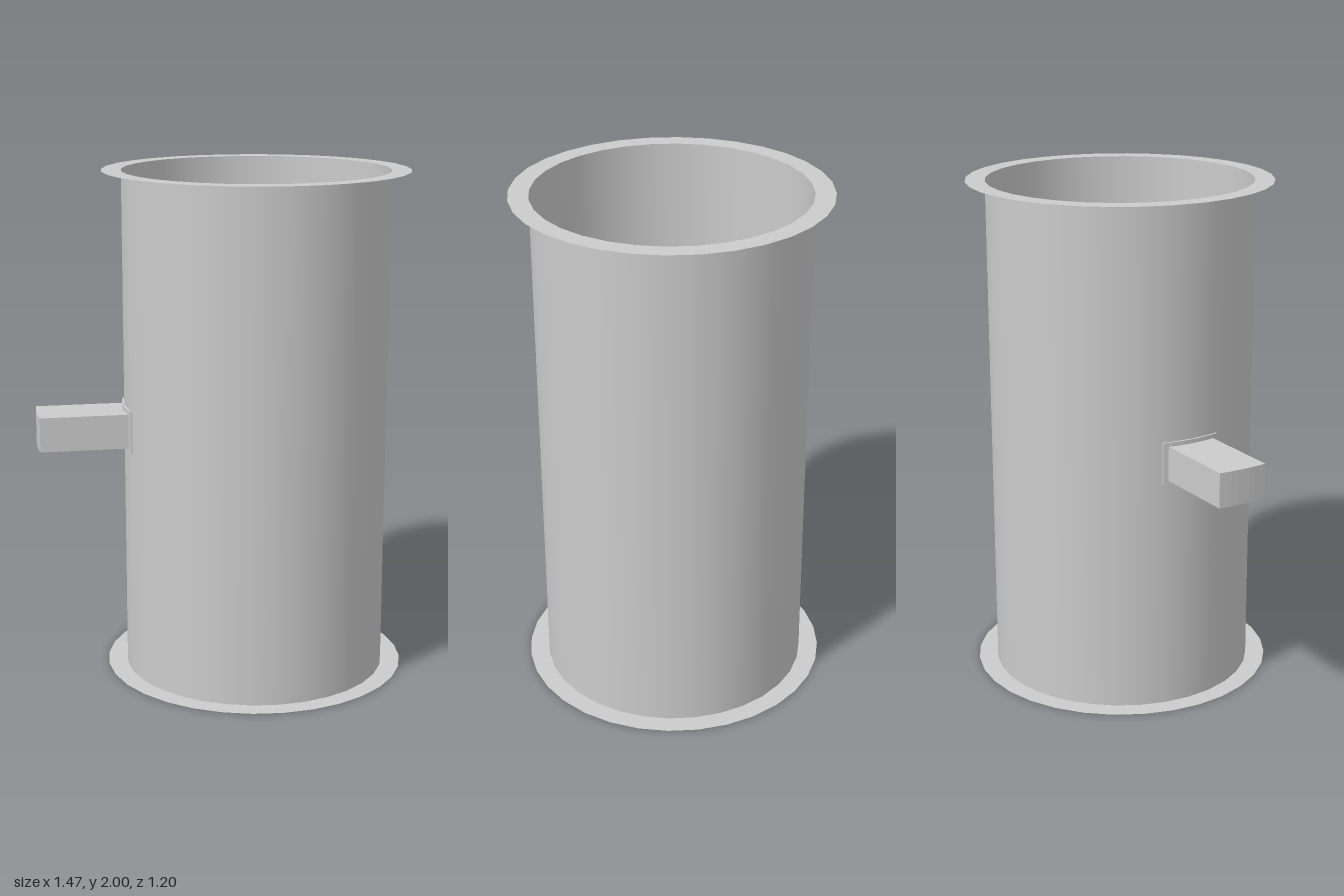
import * as THREE from 'three';

const CX = 0.135;      // axis of the pipe
const R = 0.523;       // pipe radius
const SEGMENTS = 32;

// Block on the -x side whose inner and outer ends are arcs around the pipe axis
function arcBlock(rIn, rOut, halfWidth, height, steps = 8) {
  const arc = (r) => Array.from({ length: steps + 1 }, (_, i) => {
    const w = halfWidth * (2 * i / steps - 1);
    return new THREE.Vector2(-Math.sqrt(r * r - w * w), w);
  });
  const shape = new THREE.Shape([...arc(rIn), ...arc(rOut).reverse()]);
  const geo = new THREE.ExtrudeGeometry(shape, { depth: height, bevelEnabled: false });
  return geo.translate(0, 0, -height / 2).rotateX(-Math.PI / 2);
}

export function createModel() {
  const group = new THREE.Group();
  const solid = new THREE.MeshStandardMaterial({ color: 0xcccccc });
  const thin = new THREE.MeshStandardMaterial({ color: 0xcccccc, side: THREE.DoubleSide });

  const add = (name, geometry, material, y) => {
    const mesh = new THREE.Mesh(geometry, material);
    mesh.name = name;
    mesh.position.set(CX, y, 0);
    group.add(mesh);
  };

  // Open thin-walled pipe
  add('pipe', new THREE.CylinderGeometry(R, R, 2, SEGMENTS, 1, true), thin, 1);

  // Flat flange rings at both ends
  const flange = new THREE.RingGeometry(R, 0.6, SEGMENTS).rotateX(-Math.PI / 2);
  add('bottomFlange', flange, thin, 0);
  add('topFlange', flange, thin, 2);

  // Side branch with a thin curved collar where it meets the wall
  add('sideBranch', arcBlock(0.515, 0.87, 0.1, 0.136), solid, 1.002);
  add('branchCollar', arcBlock(0.511, 0.53, 0.12, 0.168), solid, 1.002);

  return group;
}
